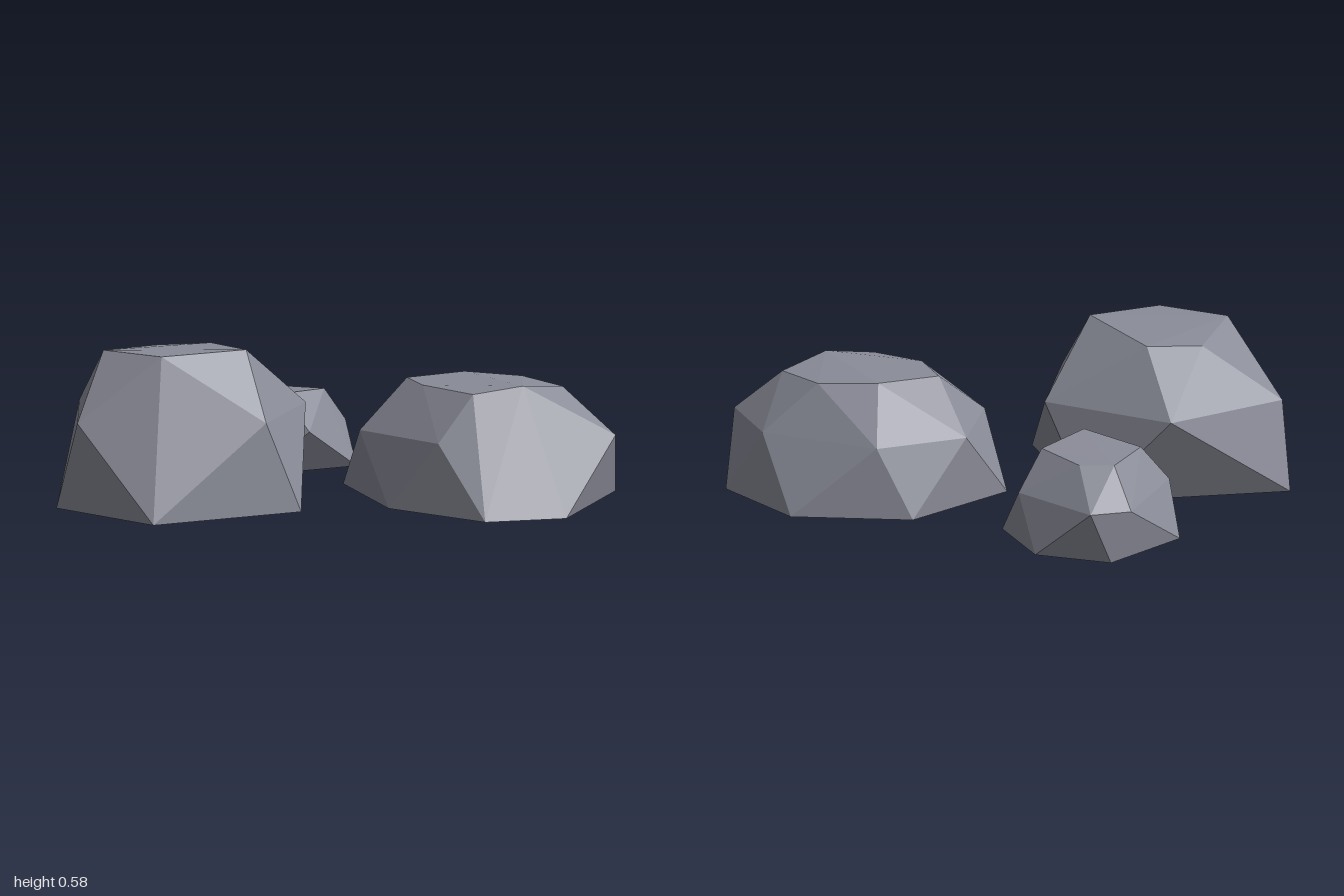
import * as THREE from 'three';
import { ConvexGeometry } from 'three/addons/geometries/ConvexGeometry.js';

// Each boulder is a faceted hull over three rings: ground, shoulder and crown.
const boulders = {
  largeBoulder: {
    ground: [[0.17, -0.39], [-0.34, 0.135], [-0.848, -0.15], [-0.82, -0.65], [-0.32, -1]],
    shoulderHeight: 0.337,
    shoulder: [[0.085, -0.155], [-0.44, 0.05], [-0.848, -0.51], [-0.38, -0.93], [0.1, -0.69]],
    crown: [[-0.32, 0.585, -0.135], [-0.627, 0.577, -0.29], [-0.6, 0.578, -0.6],
      [-0.205, 0.556, -0.67], [-0.07, 0.563, -0.505]],
  },
  mediumBoulder: {
    ground: [[0.125, 0.995], [0.71, 0.89], [0.845, 0.49], [0.655, 0.08], [0.21, -0.062],
      [-0.1, 0.365], [-0.107, 0.79]],
    shoulderHeight: 0.258,
    shoulder: [[0.507, 0.99], [0.717, 0.7], [0.68, 0.215], [0.405, 0], [0.04, 0.135], [-0.058, 0.555]],
    crown: [[0.285, 0.44, 0.19], [0.135, 0.44, 0.36], [0.085, 0.43, 0.615], [0.235, 0.455, 0.74],
      [0.485, 0.43, 0.77], [0.592, 0.44, 0.53], [0.51, 0.45, 0.315]],
  },
  smallBoulder: {
    ground: [[0.745, -0.48], [0.575, -0.25], [0.153, -0.46], [0.35, -0.85], [0.685, -0.745]],
    shoulderHeight: 0.18,
    shoulder: [[0.735, -0.69], [0.65, -0.36], [0.275, -0.275], [0.25, -0.757], [0.635, -0.795]],
    crown: [[0.33, 0.31, -0.68], [0.56, 0.308, -0.69], [0.61, 0.305, -0.58],
      [0.545, 0.32, -0.395], [0.28, 0.325, -0.425]],
  },
};

export function createModel() {
  const group = new THREE.Group();
  group.name = 'boulderCluster';
  const stone = new THREE.MeshStandardMaterial({ color: 0x8a8c98 });
  stone.name = 'greyStone';
  stone.flatShading = true;

  for (const [name, { ground, shoulderHeight, shoulder, crown }] of Object.entries(boulders)) {
    const points = [
      ...ground.map(([x, z]) => new THREE.Vector3(x, 0, z)),
      ...shoulder.map(([x, z]) => new THREE.Vector3(x, shoulderHeight, z)),
      ...crown.map((p) => new THREE.Vector3(...p)),
    ];
    const boulder = new THREE.Mesh(new ConvexGeometry(points), stone);
    boulder.name = name;
    group.add(boulder);
  }
  return group;
}
